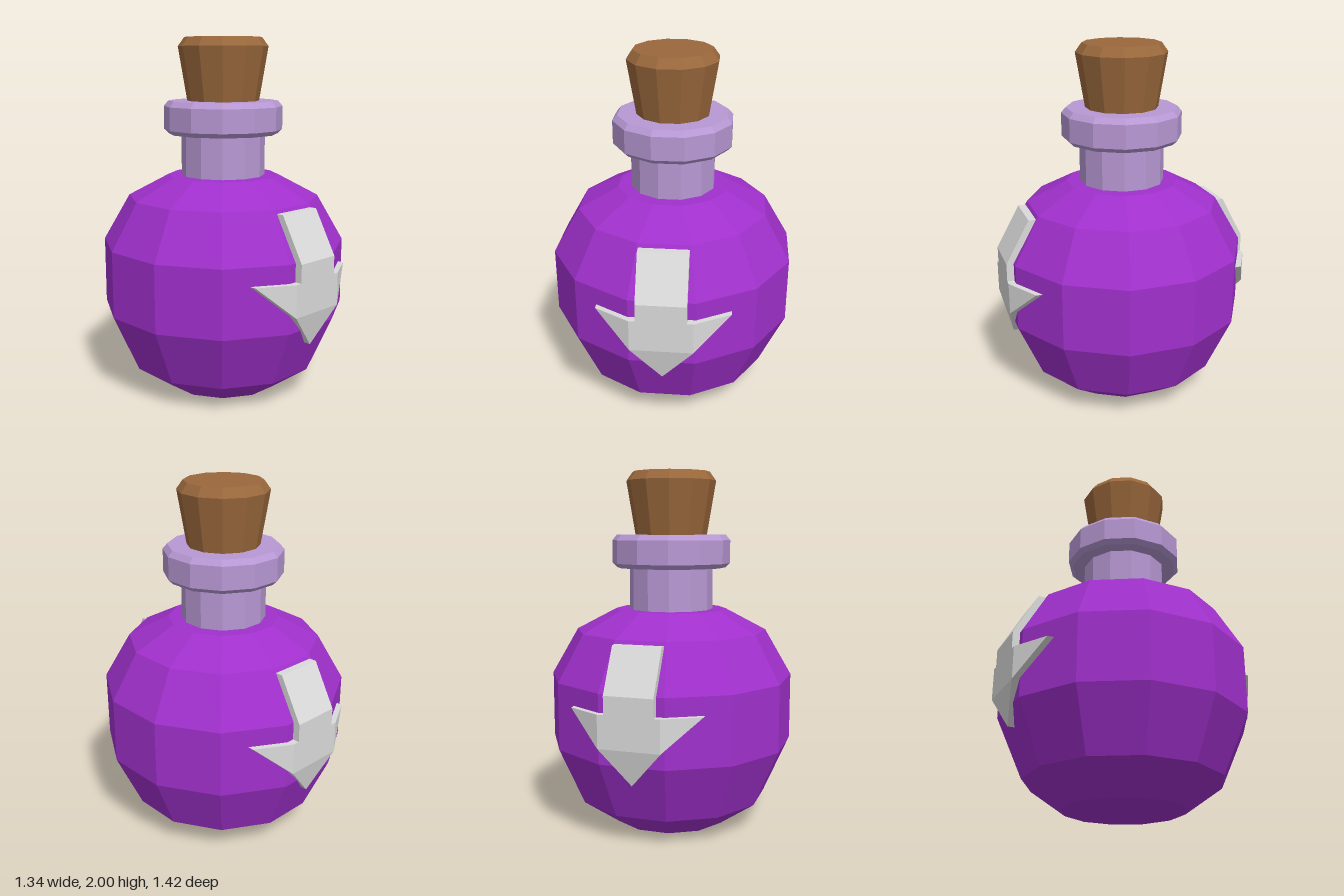
import * as THREE from 'three';

const SIDES = 12;

function material(name, color) {
  const m = new THREE.MeshStandardMaterial({ color });
  m.name = name;
  return m;
}

// Faceted turned part; profile is [half width across flats, height], bottom to top
function turned(name, profile, mat) {
  const k = 1 / Math.cos(Math.PI / SIDES);
  const pts = profile.map(([r, y]) => new THREE.Vector2(r * k, y));
  const geo = new THREE.LatheGeometry(pts, SIDES, Math.PI / SIDES).toNonIndexed();
  geo.computeVertexNormals();
  const mesh = new THREE.Mesh(geo, mat);
  mesh.name = name;
  return mesh;
}

// Downward arrow plate folded around the facets of the bottle
function arrowGeometry(depth) {
  const half = [
    [0.17, 0.57, 0.71], [0.363, 0.75, 0.6], [0.17, 0.75, 0.71],
    [0.135, 0.75, 0.71], [0.135, 0.85, 0.71], [0.135, 1.09, 0.578],
  ];
  const mirrored = half.map(([x, y, z]) => [-x, y, z]).reverse();
  const outer = [[0, 0.375, 0.665], ...half, ...mirrored];
  const inner = outer.map(([x, y, z]) => [x, y, z - depth]);
  const caps = [
    [6, 7, 8], [5, 6, 8], [5, 8, 9], [5, 9, 4],
    [3, 10, 12], [3, 12, 1], [1, 2, 3], [10, 11, 12], [0, 1, 12],
  ];
  const pos = [];
  const tri = (a, b, c) => pos.push(...a, ...b, ...c);
  for (const [a, b, c] of caps) {
    tri(outer[a], outer[b], outer[c]);
    tri(inner[a], inner[c], inner[b]);
  }
  outer.forEach((p, i) => {
    const j = (i + 1) % outer.length;
    tri(p, inner[i], inner[j]);
    tri(p, inner[j], outer[j]);
  });
  const geo = new THREE.BufferGeometry();
  geo.setAttribute('position', new THREE.Float32BufferAttribute(pos, 3));
  geo.computeVertexNormals();
  return geo;
}

export function createModel() {
  const purple = material('purple glass', 0xa030cc);
  const lilac = material('lilac glass', 0xb898d4);
  const brown = material('cork brown', 0x9a683c);
  const grey = material('light grey', 0xdadada);

  const model = new THREE.Group();
  model.name = 'potionBottle';

  // Round flask
  model.add(turned('body', [
    [0, 0], [0.325, 0], [0.53, 0.15], [0.67, 0.475], [0.67, 0.85],
    [0.525, 1.11], [0.305, 1.23], [0, 1.23],
  ], purple));

  // Neck and chamfered lip
  model.add(turned('neck', [[0.23, 1.22], [0.23, 1.48]], lilac));
  model.add(turned('lip', [
    [0, 1.465], [0.3, 1.465], [0.325, 1.49], [0.325, 1.62], [0.3, 1.65], [0, 1.65],
  ], lilac));

  // Tapered stopper
  model.add(turned('cork', [
    [0, 1.64], [0.195, 1.64], [0.245, 1.95], [0.21, 2], [0, 2],
  ], brown));

  // Arrows on front and back
  const arrow = arrowGeometry(0.045);
  ['frontArrow', 'backArrow'].forEach((name, i) => {
    const mesh = new THREE.Mesh(arrow, grey);
    mesh.name = name;
    mesh.rotation.y = i * Math.PI;
    model.add(mesh);
  });

  return model;
}
